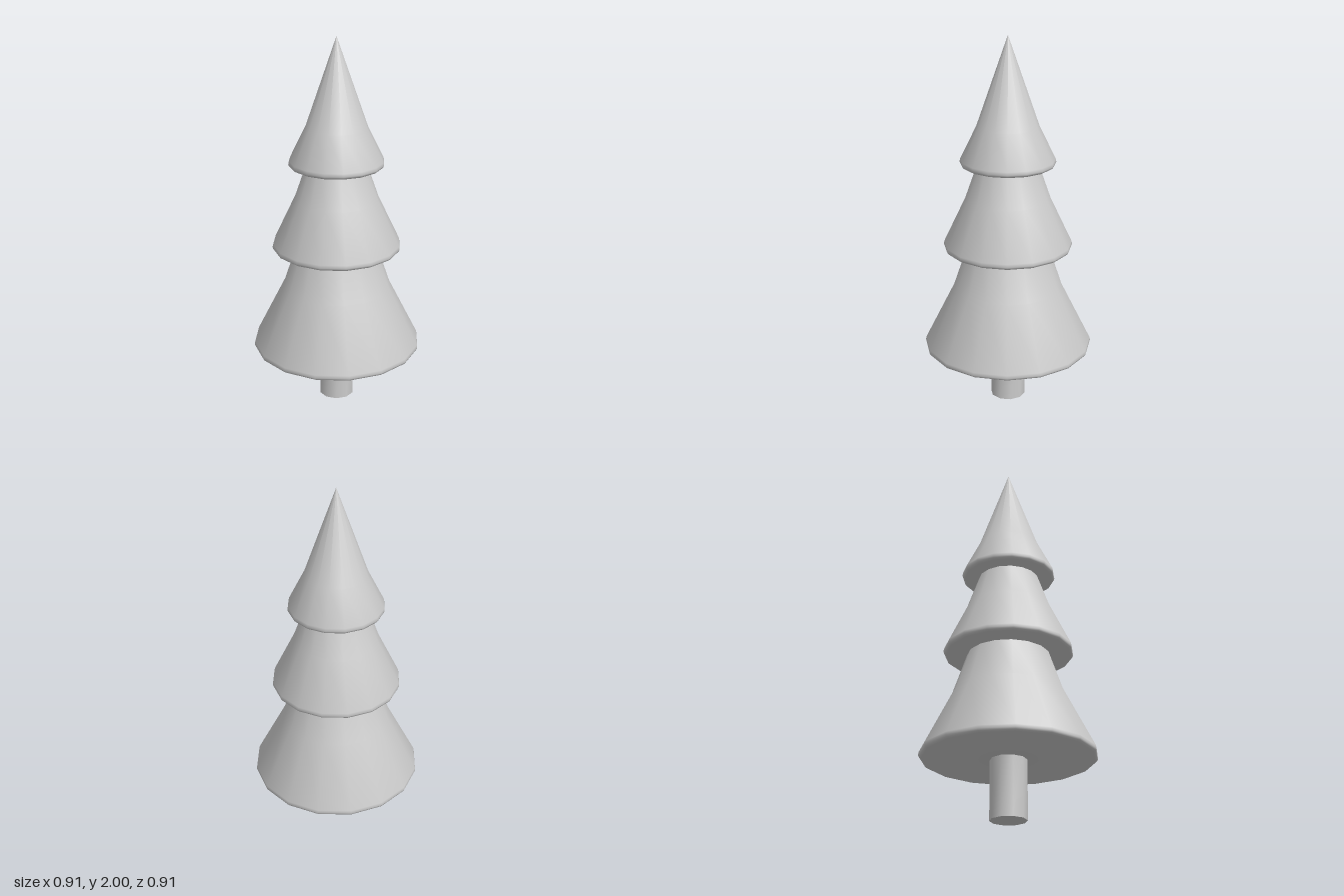
import * as THREE from 'three';
import { toCreasedNormals } from 'three/addons/utils/BufferGeometryUtils.js';

const material = new THREE.MeshStandardMaterial({ color: 0xcccccc });

function addPart(group, name, geometry) {
  const mesh = new THREE.Mesh(toCreasedNormals(geometry, 0.85), material);
  mesh.name = name;
  group.add(mesh);
}

// Flared 16-sided skirt with a rounded lower rim and a flat underside
function tierGeometry({ bottom, rim, kink, top }) {
  const profile = [
    [0, bottom],
    [rim - 0.014, bottom],
    [rim - 0.004, bottom + 0.006],
    [rim, bottom + 0.016],
    [rim - 0.003, bottom + 0.032],
    kink,
    top,
  ].map(([r, y]) => new THREE.Vector2(r, y));
  return new THREE.LatheGeometry(profile, 16);
}

export function createModel() {
  const tree = new THREE.Group();
  tree.name = 'pineTree';

  // Trunk: ten-sided post reaching just into the lowest tier
  const trunk = new THREE.CylinderGeometry(0.095, 0.095, 0.33, 10);
  trunk.translate(0, 0.165, 0);
  addPart(tree, 'trunk', trunk);

  // Foliage: each tier tucks into the underside of the one above
  const tiers = [
    { name: 'lowerFoliage', bottom: 0.308, rim: 0.453, kink: [0.29, 0.66], top: [0.209, 0.9] },
    { name: 'middleFoliage', bottom: 0.875, rim: 0.342, kink: [0.224, 1.15], top: [0.152, 1.355] },
    { name: 'upperFoliage', bottom: 1.33, rim: 0.251, kink: [0.163, 1.535], top: [0, 2] },
  ];
  for (const tier of tiers) addPart(tree, tier.name, tierGeometry(tier));

  return tree;
}
